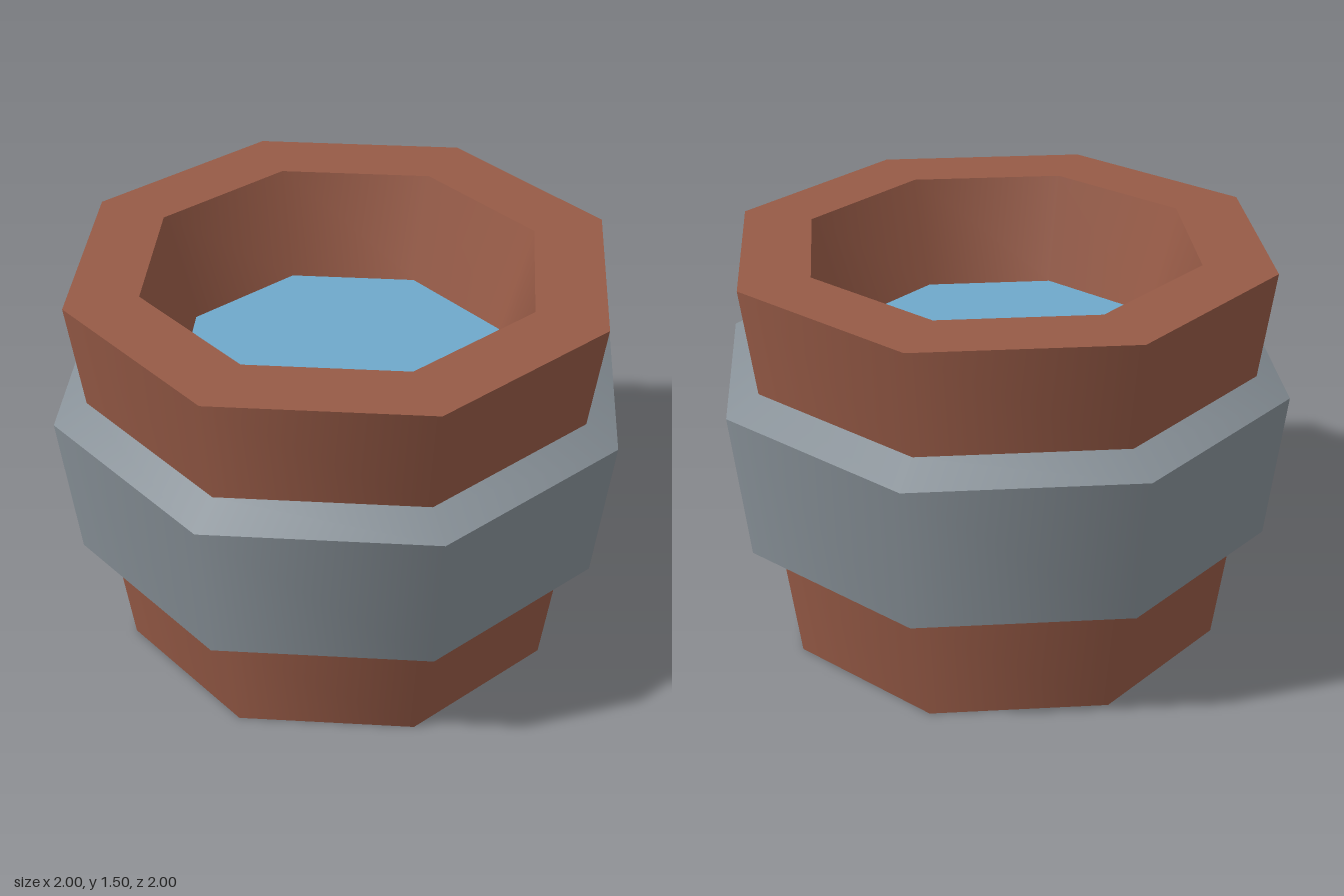
import * as THREE from 'three';
import { mergeGeometries } from 'three/addons/utils/BufferGeometryUtils.js';

const SIDES = 8;
const TO_CORNER = 1 / Math.cos(Math.PI / SIDES); // flat-side distance to corner radius

// Octagonal ring surface: smooth around, sharp between profile steps.
// Profile points are [distance to flat side, height].
function octagonal(profile) {
  const points = profile.map(([r, y]) => new THREE.Vector2(r * TO_CORNER, y));
  const steps = points.slice(1).map((p, i) =>
    new THREE.LatheGeometry([points[i], p], SIDES, Math.PI / SIDES));
  return mergeGeometries(steps);
}

export function createModel() {
  const clay = new THREE.MeshStandardMaterial({ name: 'brown clay', color: 0x965a46 });
  const stone = new THREE.MeshStandardMaterial({ name: 'grey band', color: 0x879097 });
  const blue = new THREE.MeshStandardMaterial({ name: 'water blue', color: 0x6fa8cb });

  const model = new THREE.Group();
  model.name = 'octagonalWaterPot';
  const add = (name, material, profile) => {
    const mesh = new THREE.Mesh(octagonal(profile), material);
    mesh.name = name;
    model.add(mesh);
  };

  // Base: closed underside and lower wall
  add('base', clay, [[0, 0], [0.78, 0], [0.83, 0.4]]);

  // Wide bevelled band around the middle
  add('band', stone, [[0.83, 0.4], [0.94, 0.47], [1, 1.03], [0.885, 1.1]]);

  // Upper wall, flat rim and sloping inside
  add('rim', clay, [[0.885, 1.1], [0.935, 1.5], [0.685, 1.5], [0.575, 1.1]]);

  // Water surface
  add('water', blue, [[0.575, 1.1], [0, 1.1]]);

  return model;
}
